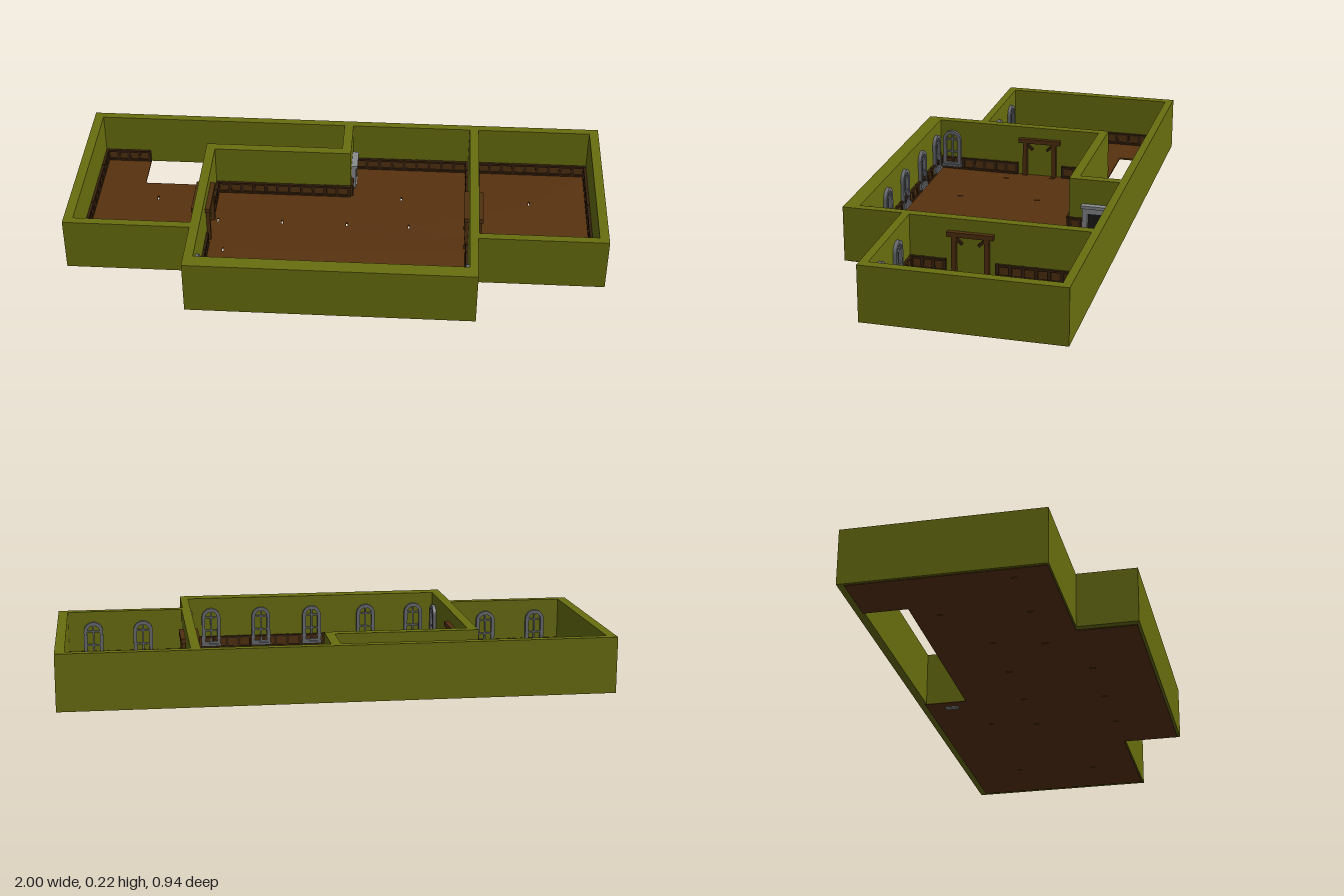
import * as THREE from 'three';

const mat = (name, color) => Object.assign(new THREE.MeshStandardMaterial({ color }), { name });

export function createModel() {
  const model = new THREE.Group();
  model.name = 'roomSet';
  const green = mat('olive plaster', 0x686e0e);
  const brown = mat('floor wood', 0x58320f);
  const dark = mat('dark wood', 0x35200c);
  const panelWood = mat('panel wood', 0x50300f);
  const stone = mat('grey stone', 0x686b70);
  const pale = mat('pale stone', 0x8a8b8e);
  const black = mat('soot', 0x1c1a18);

  const add = (parent, name, geo, material) => {
    const m = new THREE.Mesh(geo, material);
    m.name = name;
    parent.add(m);
    return m;
  };
  const box = (parent, name, material, w, h, d, x, y, z) => {
    const m = add(parent, name, new THREE.BoxGeometry(w, h, d), material);
    m.position.set(x, y, z);
    return m;
  };
  const poly = (pts, T = THREE.Shape) => new T(pts.map(([x, z]) => new THREE.Vector2(x, z)));
  // Extrudes an x/z plan between two heights
  const plan = (outline, holes, y0, y1) => {
    const s = poly(outline);
    s.holes = holes.map((h) => poly(h, THREE.Path));
    return new THREE.ExtrudeGeometry(s, { depth: y1 - y0, bevelEnabled: false })
      .rotateX(Math.PI / 2).translate(0, y1, 0);
  };
  // Group placed against a wall, local +z pointing into the room
  const mount = (name, x, z, angle) => {
    const g = new THREE.Group();
    g.name = name;
    g.position.set(x, 0, z);
    g.rotation.y = angle;
    model.add(g);
    return g;
  };

  // Walls: one plan with three rooms cut out
  add(model, 'walls', plan(
    [[-1, -0.47], [1, -0.47], [1, 0.245], [0.525, 0.245], [0.525, 0.465], [-0.53, 0.465], [-0.53, 0.245], [-1, 0.245]],
    [
      [[-0.965, -0.44], [0, -0.44], [0, -0.285], [-0.53, -0.285], [-0.53, 0.215], [-0.965, 0.215]],
      [[0.035, -0.44], [0.495, -0.44], [0.495, 0.41], [-0.495, 0.41], [-0.495, -0.25], [0.035, -0.25]],
      [[0.53, -0.44], [0.965, -0.44], [0.965, 0.215], [0.53, 0.215]],
    ], 0.008, 0.215), green);

  // Floor with the open back passage and small gaps between planks
  const gaps = [[-0.72, -0.19], [-0.93, 0.115], [-0.68, 0.115], [-0.47, -0.065], [-0.22, -0.065], [0.03, -0.065],
    [0.27, -0.065], [-0.43, 0.115], [-0.19, 0.24], [0.065, 0.24], [0.31, 0.24], [0.235, -0.24], [0.735, -0.24], [0.77, 0.065]];
  add(model, 'floor', plan(
    [[-0.99, -0.445], [-0.785, -0.445], [-0.785, -0.285], [0, -0.285], [0, -0.445], [0.98, -0.445], [0.98, 0.24],
      [0.52, 0.24], [0.52, 0.455], [-0.505, 0.455], [-0.505, 0.24], [-0.99, 0.24]],
    gaps.map(([x, z]) => [[x - 0.003, z - 0.011], [x + 0.003, z - 0.011], [x + 0.003, z + 0.011], [x - 0.003, z + 0.011]]),
    0.005, 0.012), brown);

  // Low wood panelling: panels, rails and posts along each wall run
  const panelling = (ax, az, bx, bz) => {
    const len = Math.hypot(bx - ax, bz - az);
    const g = mount('panelling', ax, az, Math.atan2(az - bz, bx - ax));
    box(g, 'panels', panelWood, len, 0.045, 0.004, len / 2, 0.0345, 0.002);
    for (const y of [0.016, 0.056]) box(g, 'rail', dark, len, 0.008, 0.01, len / 2, y, 0.005);
    const n = Math.max(1, Math.round(len / 0.05));
    for (let i = 0; i <= n; i++) {
      box(g, 'post', dark, 0.012, 0.05, 0.009, 0.006 + (len - 0.012) * i / n, 0.036, 0.0045);
    }
  };
  const doorFrom = -0.1, doorTo = 0.08;
  [
    // left room
    [-0.965, -0.44, -0.785, -0.44], [-0.53, -0.285, -0.53, doorFrom], [-0.53, doorTo, -0.53, 0.215],
    [-0.53, 0.215, -0.965, 0.215], [-0.965, 0.215, -0.965, -0.44],
    // main room
    [0.035, -0.44, 0.495, -0.44], [0.495, -0.44, 0.495, doorFrom], [0.495, doorTo, 0.495, 0.41],
    [0.495, 0.41, -0.495, 0.41], [-0.495, 0.41, -0.495, doorTo], [-0.495, doorFrom, -0.495, -0.25],
    [-0.495, -0.25, 0.035, -0.25], [0.035, -0.25, 0.035, -0.3], [0.035, -0.4, 0.035, -0.44],
    // right room
    [0.53, -0.44, 0.965, -0.44], [0.965, -0.44, 0.965, 0.215], [0.965, 0.215, 0.53, 0.215],
    [0.53, 0.215, 0.53, doorTo], [0.53, doorFrom, 0.53, -0.44],
  ].forEach((r) => panelling(...r));

  // Arched windows
  const arch = (T, r, y0, y1) => {
    const s = new T();
    s.moveTo(-r, y0);
    s.lineTo(r, y0);
    s.lineTo(r, y1);
    s.absarc(0, y1, r, 0, Math.PI, false);
    s.lineTo(-r, y0);
    return s;
  };
  const frameShape = arch(THREE.Shape, 0.037, 0.025, 0.138);
  frameShape.holes.push(arch(THREE.Path, 0.024, 0.04, 0.138));
  const frameGeo = new THREE.ExtrudeGeometry(frameShape, { depth: 0.013, bevelEnabled: false, curveSegments: 8 });
  const windowAt = (x, z, angle) => {
    const g = mount('window', x, z, angle);
    add(g, 'windowFrame', frameGeo, stone);
    box(g, 'sill', stone, 0.08, 0.01, 0.018, 0, 0.027, 0.009);
    box(g, 'mullion', stone, 0.006, 0.122, 0.007, 0, 0.1, 0.0045);
    for (const y of [0.085, 0.138]) box(g, 'crossbar', stone, 0.05, 0.006, 0.007, 0, y, 0.0045);
  };
  for (const x of [-0.415, -0.22, 0, 0.205, 0.405]) windowAt(x, 0.41, Math.PI);
  for (const x of [-0.87, -0.67, 0.68, 0.87]) windowAt(x, 0.215, Math.PI);
  windowAt(-0.495, 0.36, Math.PI / 2);
  windowAt(0.495, 0.36, -Math.PI / 2);

  // Timber door frames on both faces of the two dividing walls
  for (const [x, side] of [[-0.53, -1], [-0.495, 1], [0.495, -1], [0.53, 1]]) {
    const g = mount('doorFrame', x, -0.01, side * Math.PI / 2);
    for (const s of [-1, 1]) {
      box(g, 'doorPost', panelWood, 0.018, 0.145, 0.014, s * 0.06, 0.0825, 0.007);
      const brace = box(g, 'doorBrace', dark, 0.01, 0.04, 0.01, s * 0.044, 0.136, 0.006);
      brace.rotation.z = -s * Math.PI / 4;
    }
    box(g, 'lintel', panelWood, 0.17, 0.018, 0.018, 0, 0.16, 0.009);
  }

  // Fireplace in the alcove
  const fire = mount('fireplace', 0.035, -0.35, Math.PI / 2);
  box(fire, 'hearth', pale, 0.05, 0.014, 0.02, 0, 0.007, 0.01);
  box(fire, 'fireback', black, 0.06, 0.07, 0.004, 0, 0.047, 0.002);
  for (const s of [-1, 1]) box(fire, 'jamb', pale, 0.02, 0.08, 0.018, s * 0.036, 0.05, 0.009);
  box(fire, 'breast', pale, 0.092, 0.022, 0.018, 0, 0.095, 0.009);
  box(fire, 'mantel', pale, 0.1, 0.012, 0.024, 0, 0.112, 0.012);

  return model;
}
